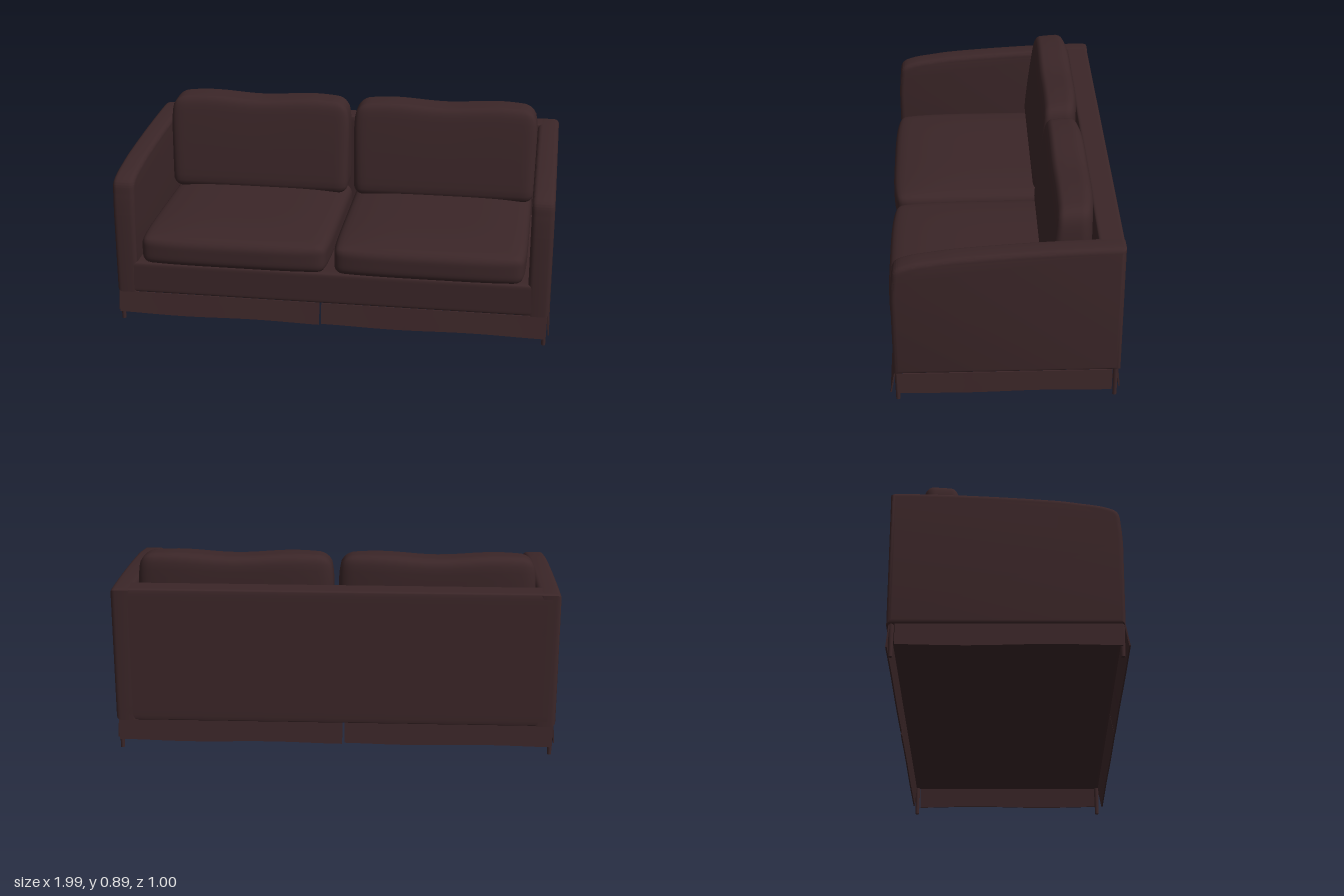
import * as THREE from 'three';
import { mergeVertices, toCreasedNormals } from 'three/addons/utils/BufferGeometryUtils.js';

const leather = new THREE.MeshStandardMaterial({ color: 0x3b2628 });
leather.name = 'darkBrownLeather';

// Softly rounded block; deform(p, u, v, w) receives the point and its -1..1 position
function softBlock(w, h, d, r, deform) {
  let geo = new THREE.BoxGeometry(2, 2, 2, 28, 16, 24);
  geo.deleteAttribute('uv');
  geo.deleteAttribute('normal');
  geo = mergeVertices(geo, 1e-4);
  const pos = geo.attributes.position;
  const half = new THREE.Vector3(w / 2, h / 2, d / 2);
  const inner = half.clone().subScalar(r);
  const p = new THREE.Vector3(), core = new THREE.Vector3();
  const ease = (t) => Math.sin(t * Math.PI / 2); // packs points near the edges
  for (let i = 0; i < pos.count; i++) {
    p.set(ease(pos.getX(i)), ease(pos.getY(i)), ease(pos.getZ(i))).multiply(half);
    core.copy(p).clamp(inner.clone().negate(), inner);
    p.sub(core).normalize().multiplyScalar(r).add(core);
    if (deform) deform(p, p.x / half.x, p.y / half.y, p.z / half.z);
    pos.setXYZ(i, p.x, p.y, p.z);
  }
  geo.computeVertexNormals();
  return geo;
}

// Side profile (z, y) extruded along x
function armGeometry(thickness, bevel) {
  const shape = new THREE.Shape();
  shape.moveTo(-0.5, 0.14);
  shape.lineTo(0.478, 0.14);
  shape.lineTo(0.48, 0.52);
  shape.splineThru([[0.474, 0.61], [0.46, 0.672], [0.4, 0.7], [0.3, 0.717], [0.2, 0.73],
    [0, 0.745], [-0.2, 0.756], [-0.4, 0.763], [-0.485, 0.763]].map(([z, y]) => new THREE.Vector2(z, y)));
  shape.lineTo(-0.5, 0.757);
  const geo = new THREE.ExtrudeGeometry(shape, {
    depth: thickness - 2 * bevel, bevelThickness: bevel, bevelSize: bevel,
    bevelOffset: -bevel, bevelSegments: 4, curveSegments: 36,
  });
  geo.translate(0, 0, bevel - thickness / 2);
  geo.rotateY(-Math.PI / 2);
  return toCreasedNormals(geo, 0.7);
}

// Hanging valance: flares outwards (+z) at the hem, which is slightly wavy
function skirtGeometry(length, flare) {
  const geo = new THREE.BoxGeometry(length, 0.098, 0.006, 24, 4, 1);
  const pos = geo.attributes.position;
  for (let i = 0; i < pos.count; i++) {
    const t = 0.5 - pos.getY(i) / 0.098;
    const x = pos.getX(i);
    pos.setX(i, x * (1 - 0.004 * t));
    pos.setY(i, pos.getY(i) + 0.003 * t * Math.sin(x * 9));
    pos.setZ(i, pos.getZ(i) + flare * t);
  }
  geo.computeVertexNormals();
  return geo;
}

export function createModel() {
  const sofa = new THREE.Group();
  sofa.name = 'sofa';
  const add = (name, geo, x, y, z, turn = 0) => {
    const mesh = new THREE.Mesh(geo, leather);
    mesh.name = name;
    mesh.position.set(x, y, z);
    mesh.rotation.y = turn;
    sofa.add(mesh);
    return mesh;
  };

  // Frame
  add('base', softBlock(1.9, 0.15, 0.975, 0.014), 0, 0.215, -0.01);
  add('backrest', softBlock(1.96, 0.623, 0.112, 0.014), 0, 0.4515, -0.444);
  const arm = armGeometry(0.1, 0.022);

  // Seat cushion: crowned on top, thinner at the front, rounded in plan
  const seat = softBlock(0.87, 0.135, 0.86, 0.04, (p, u, v, w) => {
    const crown = (1 - u ** 4) * (1 - Math.max(0, w) ** 4);
    if (v > 0) p.y += v * (0.026 * crown - 0.008 * Math.max(0, w) ** 2);
    const front = Math.max(0, w) ** 5;
    p.x *= 1 - 0.035 * front;
    p.z -= 0.022 * front * u ** 4;
  });

  // Back cushion: front leans back, ends taper, top edge gently wavy
  const back = softBlock(0.885, 0.455, 0.215, 0.05, (p, u, v, w) => {
    const up = (v + 1) / 2;
    if (w > 0) p.z -= 0.052 * w * up ** 1.3;
    if (w < 0) p.z += 0.03 * -w * u ** 4;
    p.x *= 1 - 0.05 * Math.max(0, v) ** 4 - 0.012 * (1 - up);
    p.y += up ** 3 * (0.007 * Math.cos(u * 5 + Math.PI) + 0.006 * -w);
  });

  for (const [side, s] of [['left', 1], ['right', -1]]) {
    add(side + 'Arm', arm, s * 0.943, 0, 0);
    add(side + 'SeatCushion', seat, s * 0.445, 0.3535, 0.07);
    add(side + 'BackCushion', back, s * 0.452, 0.65, -0.278);

    // Valances on the end, and half of the front and back
    add(side + 'SideSkirt', skirtGeometry(0.93, 0.008), s * 0.984, 0.093, 0, s * Math.PI / 2);
    const inner = s > 0 ? -0.036 : -0.044, outer = s * 0.982;
    const length = Math.abs(outer - inner), mid = (outer + inner) / 2;
    add(side + 'FrontSkirt', skirtGeometry(length, 0.018), mid, 0.093, 0.474);
    add(side + 'RearSkirt', skirtGeometry(length, 0.01), mid, 0.093, -0.487, Math.PI);

    // Legs
    for (const [end, z] of [['Front', 0.463], ['Rear', -0.479]]) {
      const leg = new THREE.CylinderGeometry(0.012, 0.009, 0.15, 12);
      add(side + end + 'Leg', leg, s * 0.972, 0.075, z);
    }
  }
  return sofa;
}
